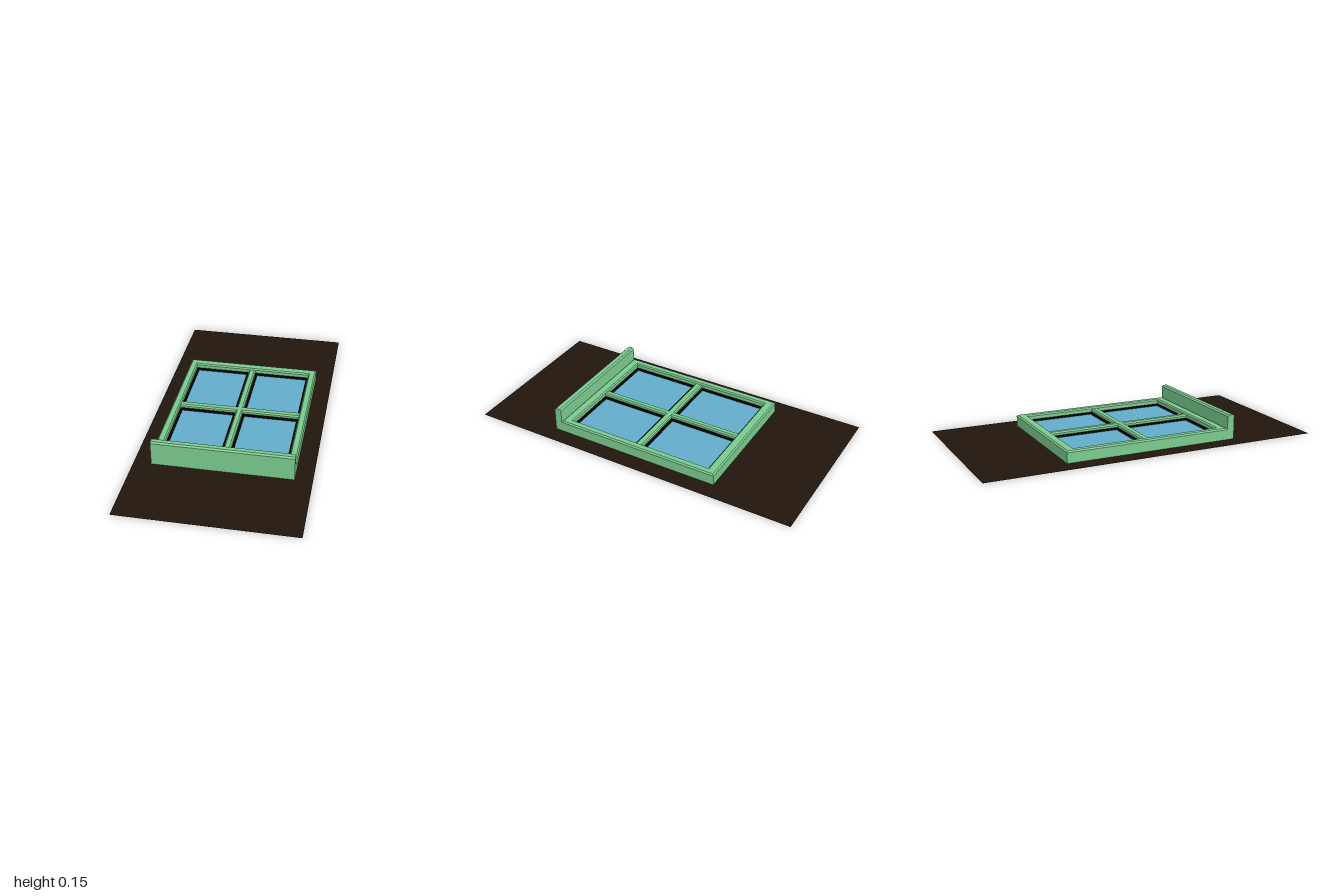
import * as THREE from 'three';

const material = (color) => new THREE.MeshStandardMaterial({ color, side: THREE.DoubleSide, flatShading: true });

// Open surface through rectangular rings [halfX, halfZ, y]
function loft(rings) {
  const corners = [[1, 1], [1, -1], [-1, -1], [-1, 1]];
  const point = ([hx, hz, y], i) => [corners[i % 4][0] * hx, y, corners[i % 4][1] * hz];
  const pos = [];
  for (let r = 0; r < rings.length - 1; r++) {
    for (let i = 0; i < 4; i++) {
      const a = point(rings[r], i), b = point(rings[r], i + 1);
      const c = point(rings[r + 1], i + 1), d = point(rings[r + 1], i);
      pos.push(...a, ...b, ...c, ...a, ...c, ...d);
    }
  }
  const geo = new THREE.BufferGeometry();
  geo.setAttribute('position', new THREE.Float32BufferAttribute(pos, 3));
  geo.computeVertexNormals();
  return geo;
}

export function createModel() {
  const model = new THREE.Group();
  model.name = 'window';
  const green = material(0x7bcb8f);
  const black = material(0x050505);
  const blue = material(0x62adca);
  const brown = material(0x21160d);

  const add = (name, geo, mat, x = 0, y = 0, z = 0) => {
    const mesh = new THREE.Mesh(geo, mat);
    mesh.name = name;
    mesh.position.set(x, y, z);
    model.add(mesh);
    return mesh;
  };

  // Flat wall sheet with the window opening
  add('wall', loft([[0.5, 1, 0], [0.4, 0.5, 0]]), brown);

  // Outer frame, an open-backed shell with bevelled edges
  add('frame', loft([
    [0.4, 0.5, 0], [0.4, 0.5, 0.06], [0.392, 0.492, 0.068],
    [0.362, 0.452, 0.068], [0.355, 0.445, 0.06], [0.355, 0.445, 0.03],
  ]), green);

  // Crossing glazing bars, open underneath
  const bar = (hx, hz, ix, iz) => loft([
    [hx, hz, 0.03], [hx, hz, 0.052], [hx - ix, hz - iz, 0.06], [ix ? 0 : hx, iz ? 0 : hz, 0.06],
  ]);
  add('verticalBar', bar(0.02, 0.445, 0.008, 0), green);
  add('horizontalBar', bar(0.355, 0.022, 0, 0.008), green);

  // Four panes, each in a dark gasket
  const hx = 0.1675, hz = 0.2115, rim = 0.013;
  for (const sx of [-1, 1]) {
    for (const sz of [-1, 1]) {
      const x = sx * 0.1875, z = sz * 0.2335;
      add('gasket', loft([
        [hx, hz, 0.03], [hx, hz, 0.04], [hx - rim, hz - rim, 0.04], [hx - rim, hz - rim, 0.03],
      ]), black, x, 0, z);
      const glass = new THREE.PlaneGeometry(2 * (hx - rim), 2 * (hz - rim)).rotateX(-Math.PI / 2);
      add('glass', glass, blue, x, 0.03, z);
    }
  }

  // Upright sill with bevelled top edges, profile in (-z, y) swept along x
  const b = 0.009;
  const profile = new THREE.Shape([
    [-0.543, 0], [-0.5, 0], [-0.5, 0.147 - b], [-0.5 - b, 0.147], [-0.543 + b, 0.147], [-0.543, 0.147 - b],
  ].map(([u, v]) => new THREE.Vector2(u, v)));
  const sill = new THREE.ExtrudeGeometry(profile, { depth: 0.8, bevelEnabled: false });
  sill.translate(0, 0, -0.4).rotateY(Math.PI / 2);
  add('sill', sill, green);

  return model;
}
